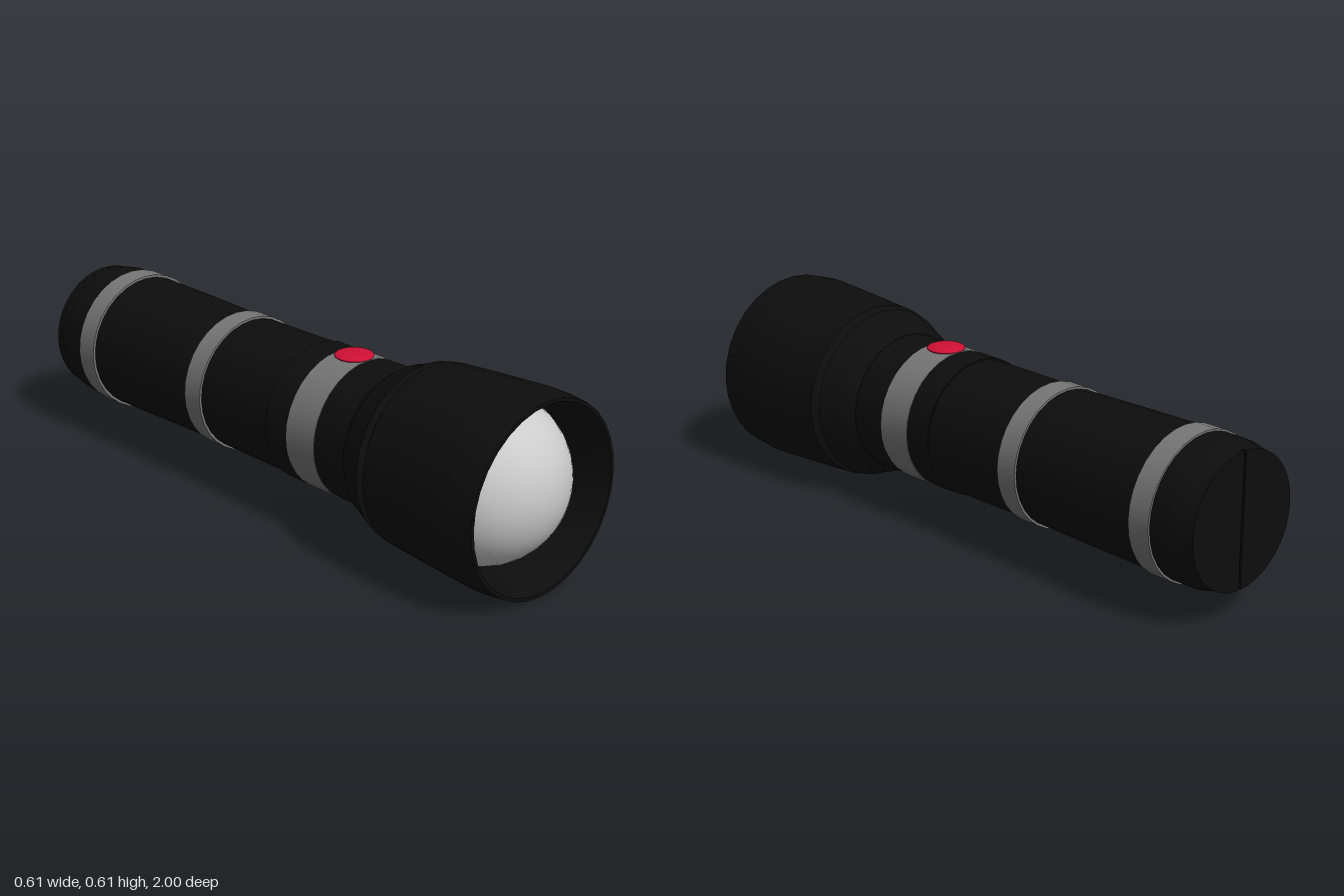
import * as THREE from 'three';
import { toCreasedNormals } from 'three/addons/utils/BufferGeometryUtils.js';

const AXIS_Y = 0.305; // height of the torch axis
const SIDES = 32;

const black = new THREE.MeshStandardMaterial({ color: 0x0d0d0d });
const grey = new THREE.MeshStandardMaterial({ color: 0x777777 });
const red = new THREE.MeshStandardMaterial({ color: 0xd01035 });
const glass = new THREE.MeshStandardMaterial({ color: 0xcccccc });

export function createModel() {
  const group = new THREE.Group();

  const add = (name, geometry, material, y = AXIS_Y, z = 0) => {
    const mesh = new THREE.Mesh(geometry, material);
    mesh.name = name;
    mesh.position.set(0, y, z);
    group.add(mesh);
    return mesh;
  };

  // Turned part: [radius, z] pairs from back to front along the torch axis
  const turned = (name, profile, material, crease = 0.45) => {
    const points = profile.map(([r, z]) => new THREE.Vector2(r, z));
    const geometry = new THREE.LatheGeometry(points, SIDES).rotateX(Math.PI / 2);
    return add(name, toCreasedNormals(geometry, crease), material);
  };

  // Head with hollow front
  turned('head', [
    [0.2, 0.53], [0.255, 0.53], [0.284, 0.545], [0.295, 0.7], [0.305, 0.87],
    [0.305, 0.91], [0.298, 0.978], [0.287, 0.978], [0.262, 0.9], [0.26, 0.73],
  ], black);
  turned('headCollar', [
    [0.2, 0.395], [0.221, 0.4], [0.247, 0.435], [0.25, 0.45], [0.277, 0.512], [0.256, 0.52], [0.254, 0.535],
  ], black);

  // Domed lens recessed in the head
  const dome = new THREE.SphereGeometry(0.26, SIDES, 16, 0, Math.PI * 2, 0, Math.PI / 2);
  add('lens', dome.rotateX(Math.PI / 2), glass, AXIS_Y, 0.74);

  // Neck, grip and tail
  turned('neck', [[0.2, 0.06], [0.22, 0.06], [0.22, 0.41], [0.2, 0.41]], black);
  turned('frontGrip', [[0.2, -0.29], [0.212, -0.29], [0.215, 0.065]], black);
  turned('rearGrip', [[0.2, -0.8], [0.22, -0.79], [0.218, -0.6], [0.213, -0.34], [0.213, -0.28]], black);
  turned('tailCap', [
    [0, -0.985], [0.208, -0.985], [0.219, -0.94], [0.222, -0.92], [0.222, -0.79],
  ], black);

  // Tail face: two half discs with a slot between them
  for (const side of [-1, 1]) {
    const gap = 0.004, r = 0.208;
    const start = Math.asin(gap / r);
    const half = new THREE.Shape();
    half.absarc(0, 0, r, -Math.PI / 2 + start, Math.PI / 2 - start, false);
    half.closePath();
    const plate = new THREE.ExtrudeGeometry(half, { depth: 0.016, bevelEnabled: false, curveSegments: 16 });
    if (side < 0) plate.rotateZ(Math.PI);
    add(side < 0 ? 'rightTailPlate' : 'leftTailPlate', toCreasedNormals(plate, 0.45), black, AXIS_Y, -1);
  }

  // Metal bands: [name, radius, back z, front z]
  const bands = [
    ['switchBand', 0.222, 0.155, 0.275],
    ['middleBand', 0.22, -0.32, -0.247],
    ['tailBand', 0.228, -0.855, -0.78],
  ];
  for (const [name, r, back, front] of bands) {
    turned(name, [[0.19, back], [r, back], [r, front], [0.19, front]], grey);
  }

  // Low domed push button
  const button = new THREE.SphereGeometry(0.06, 32, 16).scale(1, 0.2, 1);
  add('button', button, red, 0.528, 0.215);

  return group;
}
